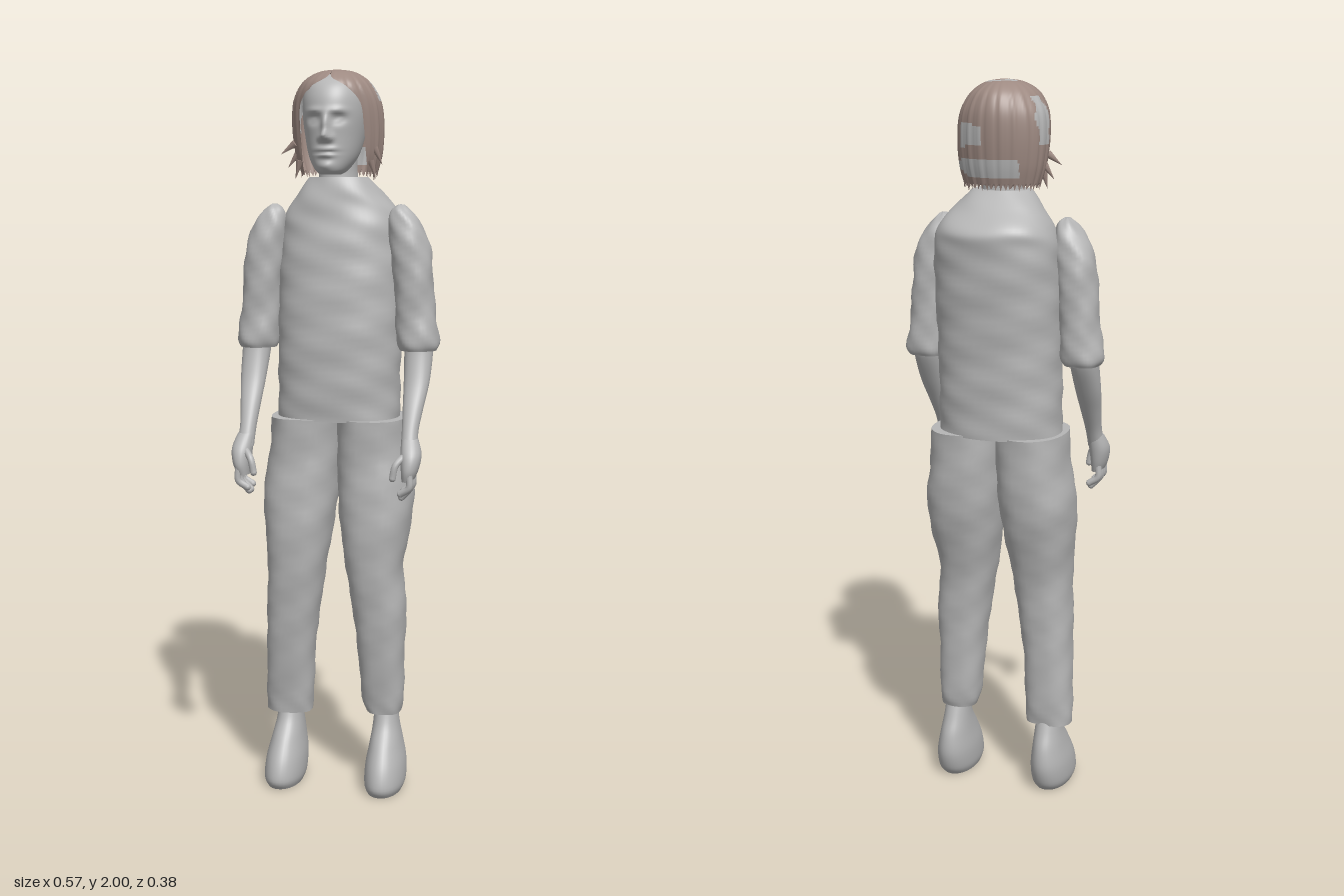
import * as THREE from 'three';

const grey = new THREE.MeshStandardMaterial({ color: 0xb6b6b6, side: THREE.DoubleSide });
grey.name = 'plain grey';
const brown = new THREE.MeshStandardMaterial({ color: 0x9e8a82, side: THREE.DoubleSide });
brown.name = 'hair brown';

// Smooth Catmull-Rom interpolation of a list of number rows
function sampleRows(rows, t) {
  const f = t * (rows.length - 1), i = Math.min(Math.floor(f), rows.length - 2), u = f - i;
  const at = k => rows[Math.max(0, Math.min(rows.length - 1, k))];
  return rows[i].map((_, c) => {
    const a = at(i - 1)[c], b = at(i)[c], d = at(i + 1)[c], e = at(i + 2)[c];
    return b + 0.5 * u * (d - a + u * (2 * a - 5 * b + 4 * d - e + u * (3 * (b - d) + e - a)));
  });
}

// Skin over level sections, listed bottom to top as [y, xMin, xMax, zBack, zFront]
function loft(rows, { seg = 36, steps = 5, power = 2.2, move = null } = {}) {
  const n = (rows.length - 1) * steps, pos = [], idx = [];
  const curve = v => Math.sign(v) * Math.abs(v) ** (2 / power);
  for (let i = 0; i <= n; i++) {
    const [y, x0, x1, z0, z1] = sampleRows(rows, i / n);
    for (let j = 0; j < seg; j++) {
      const a = (j / seg) * Math.PI * 2;
      const p = new THREE.Vector3((x0 + x1) / 2 + curve(Math.cos(a)) * (x1 - x0) / 2, y,
        (z0 + z1) / 2 + curve(Math.sin(a)) * (z1 - z0) / 2);
      if (move) move(p, a);
      pos.push(p.x, p.y, p.z);
    }
  }
  for (let i = 0; i < n; i++) for (let j = 0; j < seg; j++) {
    const a = i * seg + j, b = i * seg + (j + 1) % seg;
    idx.push(a, a + seg, b, b, a + seg, b + seg);
  }
  // End caps use their own corners so the rims stay sharp
  for (const [ring, top] of [[0, false], [n, true]]) {
    const start = pos.length / 3;
    for (let j = 0; j < seg * 3; j++) pos.push(pos[ring * seg * 3 + j]);
    for (let j = 1; j < seg - 1; j++) {
      idx.push(start, start + (top ? j + 1 : j), start + (top ? j : j + 1));
    }
  }
  const g = new THREE.BufferGeometry();
  g.setAttribute('position', new THREE.Float32BufferAttribute(pos, 3));
  g.setIndex(idx);
  g.computeVertexNormals();
  return g;
}

function add(parent, name, geometry, material = grey) {
  const m = new THREE.Mesh(geometry, material);
  m.name = name;
  parent.add(m);
  return m;
}

const flip = (rows, s) => rows.map(([y, a, b, c, d]) => (s > 0 ? [y, a, b, c, d] : [y, -b, -a, c, d]));

// Gentle cloth unevenness
const cloth = size => (p, a) => {
  const w = size * (Math.sin(p.y * 47 + 3 * a) + Math.sin(p.y * 83 - 5 * a)) / 2;
  p.x += Math.cos(a) * w;
  p.z += Math.sin(a) * w;
};

// Face relief: brow, eye sockets, eyeballs, nose, lips and chin
function sculptFace(p) {
  if (p.z < 0.05) return;
  const ax = Math.abs(p.x);
  const bump = (x, y, w, h) => Math.exp(-(((ax - x) / w) ** 2) - ((p.y - y) / h) ** 2);
  p.z += 0.006 * bump(0.03, 1.888, 0.025, 0.008) - 0.014 * bump(0.034, 1.866, 0.018, 0.012)
    + 0.007 * bump(0.034, 1.864, 0.011, 0.006) + 0.018 * bump(0, 1.85, 0.01, 0.028)
    + 0.03 * bump(0, 1.822, 0.012, 0.013) + 0.01 * bump(0.014, 1.816, 0.008, 0.008)
    + 0.011 * bump(0, 1.788, 0.024, 0.006) + 0.011 * bump(0, 1.772, 0.02, 0.006)
    - 0.005 * bump(0, 1.78, 0.03, 0.003) + 0.007 * bump(0, 1.745, 0.022, 0.012);
}

// Hair rows, bottom to top: [y, xMin, xMax, zBack, zFront, half angle of the face opening]
const hairRows = [
  [1.725, -0.1, 0.108, -0.085, 0.07, 0.95],
  [1.78, -0.115, 0.122, -0.1, 0.09, 0.85],
  [1.85, -0.122, 0.126, -0.11, 0.105, 0.78],
  [1.91, -0.118, 0.12, -0.111, 0.115, 0.74],
  [1.95, -0.1, 0.102, -0.1, 0.118, 0.5],
  [1.975, -0.078, 0.08, -0.08, 0.1, 0.08],
  [1.993, -0.045, 0.047, -0.047, 0.06, 0],
  [2.0, -0.002, 0.002, -0.002, 0.002, 0],
];

// Places where the scalp shows between the strands
function bare(x, y, z) {
  const wobble = 0.008 * Math.sin(70 * y + 50 * z);
  const side = x < -0.07 && z > -0.045 + wobble && z < 0.01 + wobble && y > 1.83 && y < 1.955;
  const arch = Math.hypot(x - 0.01, z + 0.005);
  const crown = y > 1.98 && z < 0.005 && arch > 0.024 && arch < 0.044 + wobble;
  const leftTop = x > 0.08 && y > 1.91 && y < 1.965 && z > -0.035 && z < 0.012;
  const back = z < -0.06 && Math.abs(x - 0.06) < 0.035 && y > 1.83 + wobble && y < 1.875 + wobble;
  const nape = z < -0.04 && y > 1.752 + wobble && y < 1.785 + wobble && x > -0.07;
  return side || crown || leftTop || back || nape;
}

function hairGeometry() {
  const seg = 96, n = 56, pos = [], sets = [[], []];
  for (let i = 0; i <= n; i++) {
    const [y, x0, x1, z0, z1, gap] = sampleRows(hairRows, i / n);
    const open = Math.max(0, gap);
    for (let j = 0; j <= seg; j++) {
      const a = Math.PI / 2 + open + (j / seg) * 2 * (Math.PI - open);
      const r = 1 + 0.012 * Math.sin(23 * a) + 0.008 * Math.sin(41 * a);
      const ragged = i === 0 ? 0.012 * Math.sin(j * 2.3) : 0;
      pos.push((x0 + x1) / 2 + Math.cos(a) * r * (x1 - x0) / 2, y + ragged,
        (z0 + z1) / 2 + Math.sin(a) * r * (z1 - z0) / 2);
    }
  }
  for (let i = 0; i < n; i++) for (let j = 0; j < seg; j++) {
    const a = i * (seg + 1) + j, b = a + 1, c = a + seg + 1, d = c + 1;
    const isBare = bare(pos[a * 3], pos[a * 3 + 1], pos[a * 3 + 2]);
    sets[isBare ? 1 : 0].push(a, c, b, b, c, d);
  }
  const g = new THREE.BufferGeometry();
  g.setAttribute('position', new THREE.Float32BufferAttribute(pos, 3));
  g.setIndex([...sets[0], ...sets[1]]);
  g.addGroup(0, sets[0].length, 0);
  g.addGroup(sets[0].length, sets[1].length, 1);
  g.computeVertexNormals();
  return g;
}

export function createModel() {
  const model = new THREE.Group();
  model.name = 'standingFigure';

  // Shirt body, neck and head
  add(model, 'shirt', loft([
    [1.055, -0.173, 0.168, -0.157, 0.092], [1.16, -0.171, 0.168, -0.162, 0.098],
    [1.3, -0.17, 0.17, -0.168, 0.1], [1.46, -0.17, 0.172, -0.182, 0.09],
    [1.57, -0.165, 0.168, -0.19, 0.077], [1.62, -0.153, 0.157, -0.188, 0.068],
    [1.67, -0.118, 0.12, -0.135, 0.06], [1.715, -0.078, 0.082, -0.085, 0.048],
  ], { seg: 56, steps: 8, power: 2.3, move: cloth(0.0025) }));
  add(model, 'neck', loft([
    [1.67, -0.062, 0.062, -0.075, 0.055], [1.72, -0.052, 0.052, -0.07, 0.045], [1.79, -0.052, 0.052, -0.07, 0.05],
  ]));
  add(model, 'head', loft([
    [1.722, -0.025, 0.025, 0.03, 0.118], [1.735, -0.043, 0.043, 0, 0.129], [1.77, -0.064, 0.064, -0.05, 0.132],
    [1.82, -0.077, 0.077, -0.085, 0.134], [1.88, -0.085, 0.085, -0.098, 0.138], [1.93, -0.083, 0.083, -0.095, 0.129],
    [1.965, -0.066, 0.066, -0.07, 0.102], [1.985, -0.03, 0.03, -0.03, 0.05],
  ], { seg: 110, steps: 10, power: 2.1, move: sculptFace }));

  // Hair shell and loose strand tips
  add(model, 'hair', hairGeometry(), [brown, grey]);
  for (const [x, y, z, tilt] of [[-0.128, 1.79, 0.04, 2.2], [-0.118, 1.76, 0.02, 2.5], [-0.098, 1.735, 0.05, 2.9],
    [0.12, 1.77, 0.03, -2.7], [0.108, 1.735, 0.04, -2.9], [0.1, 1.73, -0.01, 3.1]]) {
    const strand = add(model, 'hairStrand', new THREE.ConeGeometry(0.011, 0.05, 6), brown);
    strand.position.set(x, y, z);
    strand.rotation.z = tilt;
  }

  // Trouser legs differ slightly from side to side
  add(model, 'leftTrouserLeg', loft([
    [0.215, 0.085, 0.183, -0.058, 0.036], [0.26, 0.072, 0.19, -0.066, 0.045], [0.4, 0.062, 0.192, -0.07, 0.068],
    [0.52, 0.048, 0.198, -0.076, 0.083], [0.64, 0.03, 0.187, -0.088, 0.097], [0.76, 0.012, 0.206, -0.12, 0.104],
    [0.86, 0.003, 0.211, -0.142, 0.1], [0.96, 0, 0.196, -0.15, 0.094], [1.06, 0, 0.19, -0.155, 0.1],
  ], { power: 2.4, move: cloth(0.002) }));
  add(model, 'rightTrouserLeg', loft([
    [0.2, -0.207, -0.077, -0.06, 0.036], [0.26, -0.208, -0.073, -0.066, 0.045], [0.4, -0.203, -0.066, -0.07, 0.068],
    [0.52, -0.2, -0.05, -0.076, 0.083], [0.64, -0.196, -0.033, -0.088, 0.097], [0.76, -0.205, -0.015, -0.12, 0.104],
    [0.86, -0.21, -0.004, -0.142, 0.1], [0.96, -0.194, 0, -0.15, 0.094], [1.06, -0.187, 0, -0.155, 0.1],
  ], { power: 2.4, move: cloth(0.002) }));

  for (const s of [1, -1]) {
    const side = s > 0 ? 'left' : 'right';
    add(model, side + 'Shoe', loft(flip([
      [0, 0.098, 0.193, -0.06, 0.118], [0.025, 0.09, 0.202, -0.082, 0.132], [0.075, 0.09, 0.2, -0.096, 0.118],
      [0.13, 0.098, 0.188, -0.09, 0.084], [0.18, 0.104, 0.178, -0.07, 0.045], [0.235, 0.108, 0.172, -0.05, 0.025],
    ], s), { power: 2.1 }));

    const arm = new THREE.Group();
    arm.name = side + 'Arm';
    model.add(arm);
    add(arm, 'sleeve', loft(flip([
      [1.25, 0.176, 0.275, -0.055, 0.05], [1.275, 0.167, 0.284, -0.064, 0.057], [1.35, 0.163, 0.272, -0.061, 0.052],
      [1.45, 0.157, 0.264, -0.062, 0.056], [1.53, 0.146, 0.256, -0.06, 0.055], [1.59, 0.143, 0.232, -0.05, 0.048],
      [1.628, 0.152, 0.202, -0.032, 0.034], [1.643, 0.17, 0.184, -0.01, 0.012],
    ], s), { move: cloth(0.003) }));
    add(arm, 'forearm', loft(flip([
      [0.99, 0.205, 0.252, 0.105, 0.158], [1.04, 0.204, 0.248, 0.083, 0.135], [1.1, 0.2, 0.255, 0.048, 0.106],
      [1.17, 0.195, 0.265, 0.006, 0.07], [1.25, 0.19, 0.268, -0.035, 0.045], [1.3, 0.19, 0.268, -0.04, 0.04],
    ], s)));
    add(arm, 'palm', loft(flip([
      [0.915, 0.212, 0.243, 0.118, 0.178], [0.945, 0.21, 0.256, 0.108, 0.185],
      [0.985, 0.207, 0.262, 0.1, 0.175], [1.025, 0.206, 0.25, 0.095, 0.145],
    ], s), { seg: 24 }));

    // Curled fingers and thumb, each with a rounded tip
    const digits = [0, 1, 2, 3].map(i => [
      [0.236, 0.935, 0.122 + i * 0.017], [0.236, 0.9, 0.12 + i * 0.018], [0.212, 0.87 + (i % 3 === 0 ? 0.012 : 0), 0.118 + i * 0.017]]);
    digits.push([[0.222, 0.985, 0.155], [0.2, 0.96, 0.176], [0.192, 0.925, 0.178]]);
    digits.forEach((pts, i) => {
      const path = pts.map(([x, y, z]) => new THREE.Vector3(s * x, y, z));
      const name = i < 4 ? 'finger' : 'thumb';
      add(arm, name, new THREE.TubeGeometry(new THREE.CatmullRomCurve3(path), 10, 0.0095, 10));
      add(arm, name + 'Tip', new THREE.SphereGeometry(0.0095, 10, 8)).position.copy(path[2]);
    });
  }
  return model;
}
